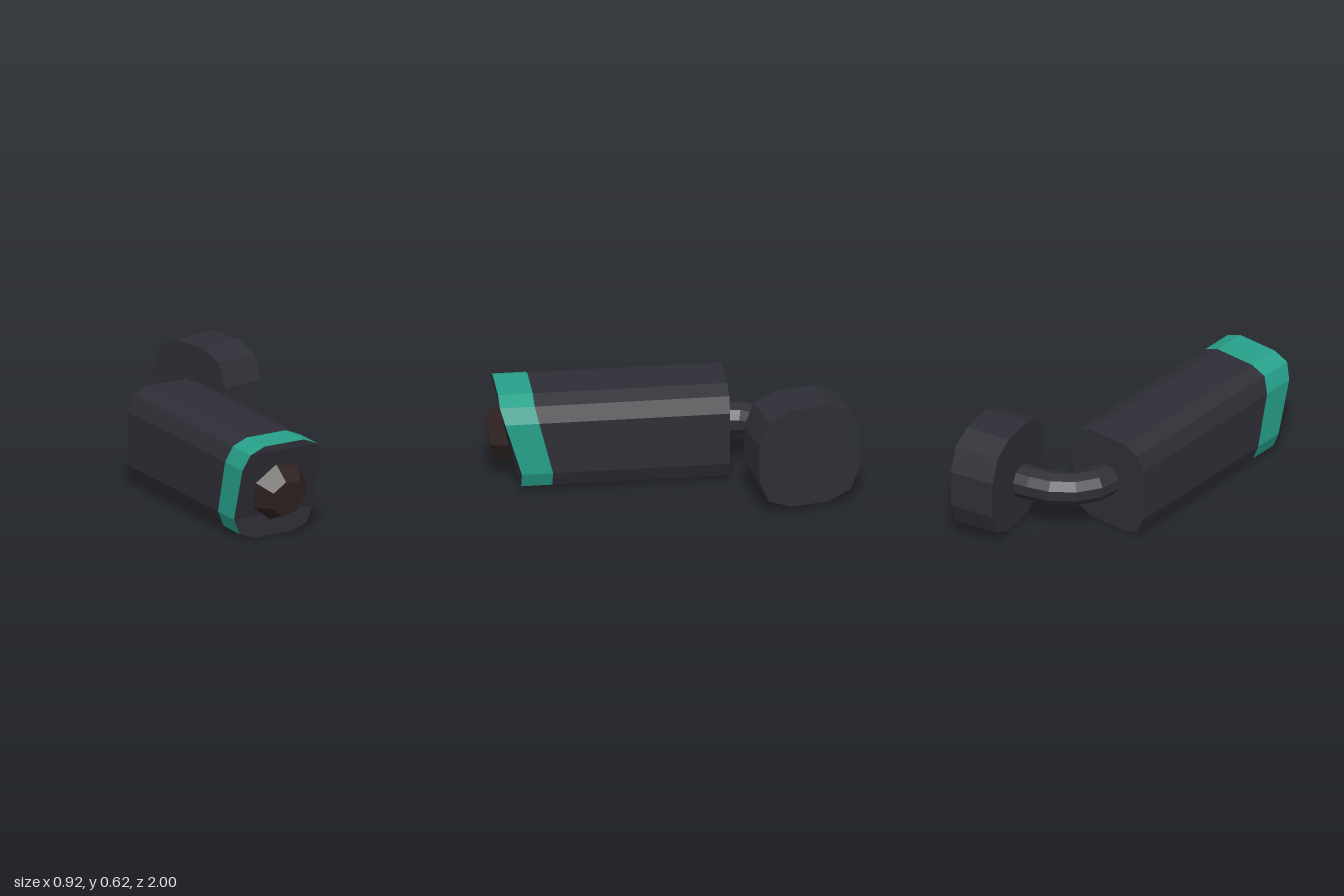
import * as THREE from 'three';

const dark = new THREE.MeshStandardMaterial({ name: 'charcoal', color: 0x2e2e36 });
const teal = new THREE.MeshStandardMaterial({ name: 'teal', color: 0x27a08a });
const brown = new THREE.MeshStandardMaterial({ name: 'lensBrown', color: 0x2f2221 });

// Rectangle with two-facet corners: 12 points, counter-clockwise from +x
function section(hw, hh, r) {
  const pts = [];
  [[1, 1], [-1, 1], [-1, -1], [1, -1]].forEach(([sx, sy], q) => {
    for (let k = 0; k < 3; k++) {
      const a = (q + k / 2) * Math.PI / 2;
      pts.push([sx * (hw - r) + r * Math.cos(a), sy * (hh - r) + r * Math.sin(a)]);
    }
  });
  return pts;
}

// Faceted prism between two end surfaces z = back(y) and z = front(y)
function prism(pts, back, front, capBack, capFront) {
  const A = pts.map(([x, y]) => [x, y, back(y)]);
  const B = pts.map(([x, y]) => [x, y, front(y)]);
  const pos = [];
  const quad = (a, b, c, d) => pos.push(...a, ...b, ...c, ...a, ...c, ...d);
  for (let i = 0; i < 12; i++) {
    const j = (i + 1) % 12;
    quad(A[i], A[j], B[j], B[i]);
  }
  // Ends are closed with horizontal strips
  const R = [2, 1, 0, 11, 10, 9], L = [3, 4, 5, 6, 7, 8];
  for (let k = 0; k < 5; k++) {
    if (capFront) quad(B[L[k]], B[L[k + 1]], B[R[k + 1]], B[R[k]]);
    if (capBack) quad(A[R[k]], A[R[k + 1]], A[L[k + 1]], A[L[k]]);
  }
  const g = new THREE.BufferGeometry();
  g.setAttribute('position', new THREE.Float32BufferAttribute(pos, 3));
  g.computeVertexNormals();
  return g;
}

function flat(geometry) {
  const g = geometry.toNonIndexed();
  g.computeVertexNormals();
  return g;
}

export function createModel() {
  const root = new THREE.Group();
  root.name = 'securityCamera';
  const add = (name, geometry, material, x = 0, y = 0, z = 0) => {
    const m = new THREE.Mesh(geometry, material);
    m.name = name;
    m.position.set(x, y, z);
    root.add(m);
    return m;
  };

  // Housing: slanted front with a teal band behind it
  const cx = -0.212, cy = 0.278;
  const body = section(0.249, 0.278, 0.125);
  const slant = (low, high) => (y) =>
    low + (high - low) * THREE.MathUtils.clamp((y + 0.15) / 0.39, 0, 1);
  const backEnd = () => -0.32, bandEnd = slant(0.652, 0.749), frontEnd = slant(0.823, 0.94);
  add('housing', prism(body, backEnd, bandEnd, true, false), dark, cx, cy);
  add('frontBand', prism(body, bandEnd, frontEnd, false, false), teal, cx, cy);
  add('frontFace', prism(body, (y) => frontEnd(y) - 0.002, frontEnd, false, true), dark, cx, cy)
    .scale.set(0.999, 0.999, 1);

  // Seven-sided lens, tipped slightly downwards
  const lens = add('lens',
    flat(new THREE.CylinderGeometry(0.108, 0.175, 0.095, 7, 1, false, Math.PI / 2)),
    brown, -0.211, 0.258, 0.932);
  lens.rotation.x = Math.PI / 2 + 0.204;

  // Bent arm
  const path = new THREE.CatmullRomCurve3([
    [-0.203, -0.3], [-0.187, -0.425], [-0.09, -0.55], [0.025, -0.603], [0.18, -0.64],
  ].map(([x, z]) => new THREE.Vector3(x, 0.285, z)));
  add('arm', flat(new THREE.TubeGeometry(path, 5, 0.093, 10)), dark);

  // Wall mount, turned to meet the arm
  const mount = add('wallMount',
    prism(section(0.29, 0.293, 0.185), () => -0.13, () => 0.13, true, true),
    dark, 0.268, 0.328, -0.688);
  mount.rotation.y = Math.PI / 2 + 0.205;

  return root;
}
